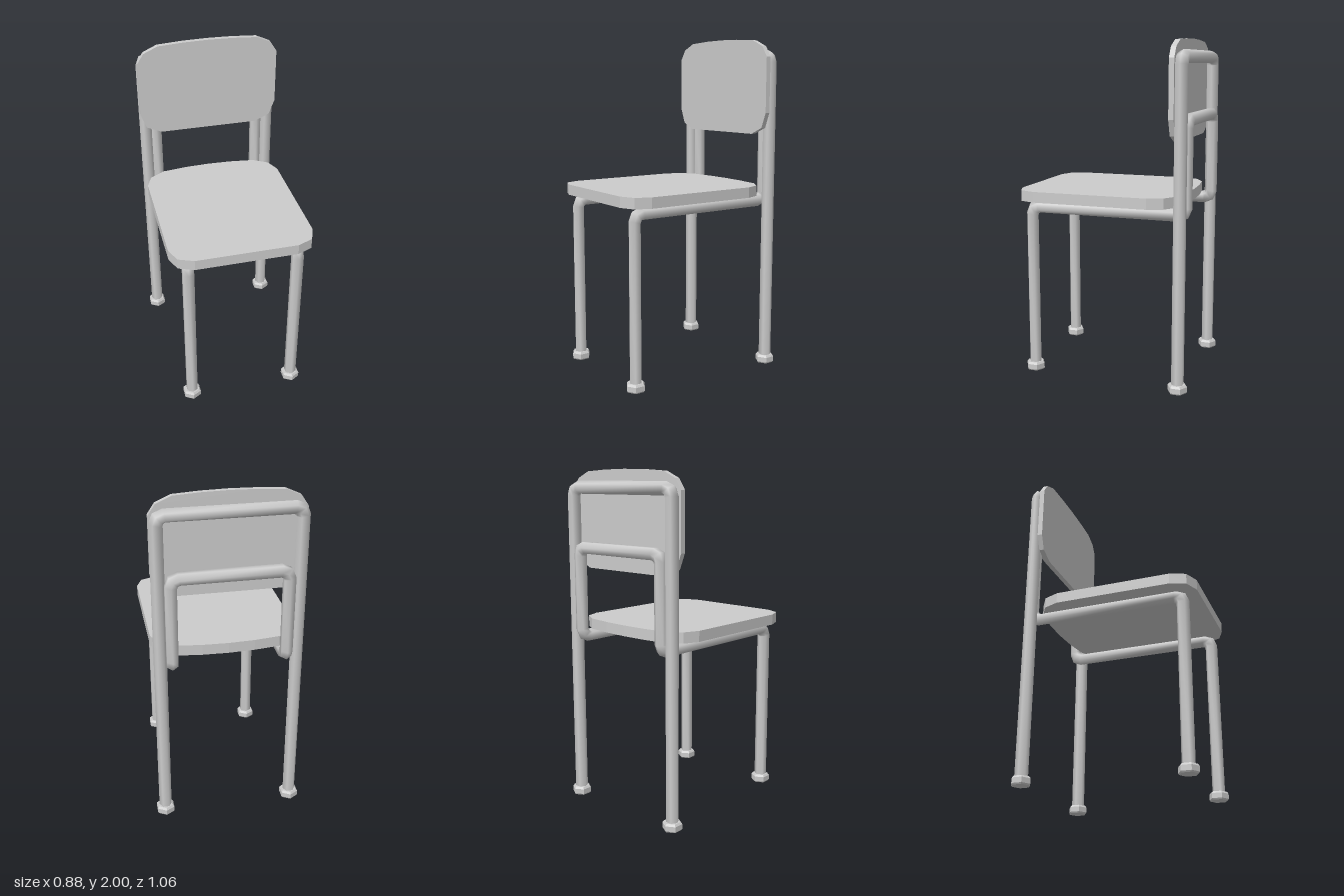
import * as THREE from 'three';

const SIDES = 6, R = 0.0375, BEND = 0.045;
const material = new THREE.MeshStandardMaterial({ color: 0xcccccc });
const faceted = new THREE.MeshStandardMaterial({ color: 0xcccccc, flatShading: true });

function add(parent, name, geometry, mat = material) {
  const mesh = new THREE.Mesh(geometry, mat);
  mesh.name = name;
  parent.add(mesh);
  return mesh;
}

// Replaces every inner corner of a path by a short three-point bend
function bendCorners(corners) {
  const path = [corners[0]];
  for (let i = 1; i < corners.length - 1; i++) {
    const c = corners[i];
    const back = corners[i - 1].clone().sub(c).normalize();
    const ahead = corners[i + 1].clone().sub(c).normalize();
    const k = BEND * (1 - Math.SQRT1_2);
    path.push(c.clone().addScaledVector(back, BEND));
    path.push(c.clone().addScaledVector(back, k).addScaledVector(ahead, k));
    path.push(c.clone().addScaledVector(ahead, BEND));
  }
  path.push(corners[corners.length - 1]);
  return path;
}

// Six-sided tube with mitred joints; the path starts upward and turn sets where its first edge lies
function bentTube(corners, turn) {
  const path = bendCorners(corners.map((p) => new THREE.Vector3(...p)));
  const dirs = path.slice(1).map((p, i) => p.clone().sub(path[i]).normalize());
  let ring = [];
  for (let j = 0; j < SIDES; j++) {
    const a = turn + (j / SIDES) * Math.PI * 2;
    ring.push(path[0].clone().add(new THREE.Vector3(Math.sin(a) * R, 0, Math.cos(a) * R)));
  }
  const positions = [], index = [];
  path.forEach((p, i) => {
    if (i > 0) {
      // Slide the ring along the segment onto the mitre plane
      const d = dirs[i - 1];
      const n = d.clone().add(dirs[i] || d).normalize();
      ring = ring.map((v) => v.clone().addScaledVector(d, p.clone().sub(v).dot(n) / d.dot(n)));
    }
    ring.forEach((v) => positions.push(v.x, v.y, v.z));
    if (i === path.length - 1) return;
    for (let j = 0; j < SIDES; j++) {
      const a = i * SIDES + j, b = i * SIDES + (j + 1) % SIDES;
      index.push(a, b, a + SIDES, b, b + SIDES, a + SIDES);
    }
  });
  const geometry = new THREE.BufferGeometry();
  geometry.setAttribute('position', new THREE.Float32BufferAttribute(positions, 3));
  geometry.setIndex(index);
  geometry.computeVertexNormals();
  return geometry;
}

// Flat board from the right half of its outline, mirrored in x
function board(half, depth) {
  const mirrored = half.filter(([x]) => x > 0).reverse().map(([x, y]) => [-x, y]);
  const shape = new THREE.Shape([...half, ...mirrored].map(([x, y]) => new THREE.Vector2(x, y)));
  return new THREE.ExtrudeGeometry(shape, { depth, bevelEnabled: false });
}

export function createModel() {
  const chair = new THREE.Group();
  chair.name = 'chair';

  // Seat: straight front, gently bowed back
  const seat = board([
    [0.30, -0.527], [0.39, -0.49], [0.425, -0.40], [0.425, 0.29],
    [0.39, 0.38], [0.30, 0.437], [0.15, 0.456], [0, 0.462],
  ], 0.063);
  seat.rotateX(-Math.PI / 2);
  add(chair, 'seat', seat).position.y = 1.062;

  // Backrest panel: bowed top edge
  const backrest = board([
    [0.30, 1.43], [0.39, 1.47], [0.425, 1.56], [0.425, 1.89],
    [0.385, 1.95], [0.30, 1.988], [0.15, 1.997], [0, 2],
  ], 0.03);
  add(chair, 'backrest', backrest).position.z = -0.44;

  // Rear frame: both back legs and the top rail
  const bx = 0.39, bz = -0.4725;
  add(chair, 'rearFrame', bentTube([
    [-bx, 0.02, bz], [-bx, 1.898, bz], [bx, 1.898, bz], [bx, 0.02, bz],
  ], Math.PI / 2));

  // Seat frame: front legs, seat rails, short uprights and lower back rail
  const fx = 0.325, fz = 0.449, rz = -0.49;
  add(chair, 'seatFrame', bentTube([
    [-fx, 0.02, fz], [-fx, 1.023, fz], [-fx, 1.023, rz], [-fx, 1.553, rz],
    [fx, 1.553, rz], [fx, 1.023, rz], [fx, 1.023, fz], [fx, 0.02, fz],
  ], 0));

  // Feet
  const profile = [[0, 0], [0.052, 0], [0.058, 0.008], [0.058, 0.038], [0.048, 0.05], [0, 0.05]];
  const foot = new THREE.LatheGeometry(profile.map(([x, y]) => new THREE.Vector2(x, y)), SIDES);
  for (const side of [-1, 1]) {
    const label = side > 0 ? 'Left' : 'Right';
    add(chair, 'front' + label + 'Foot', foot, faceted).position.set(side * fx, 0, fz);
    add(chair, 'back' + label + 'Foot', foot, faceted).position.set(side * bx, 0, bz);
  }
  return chair;
}
